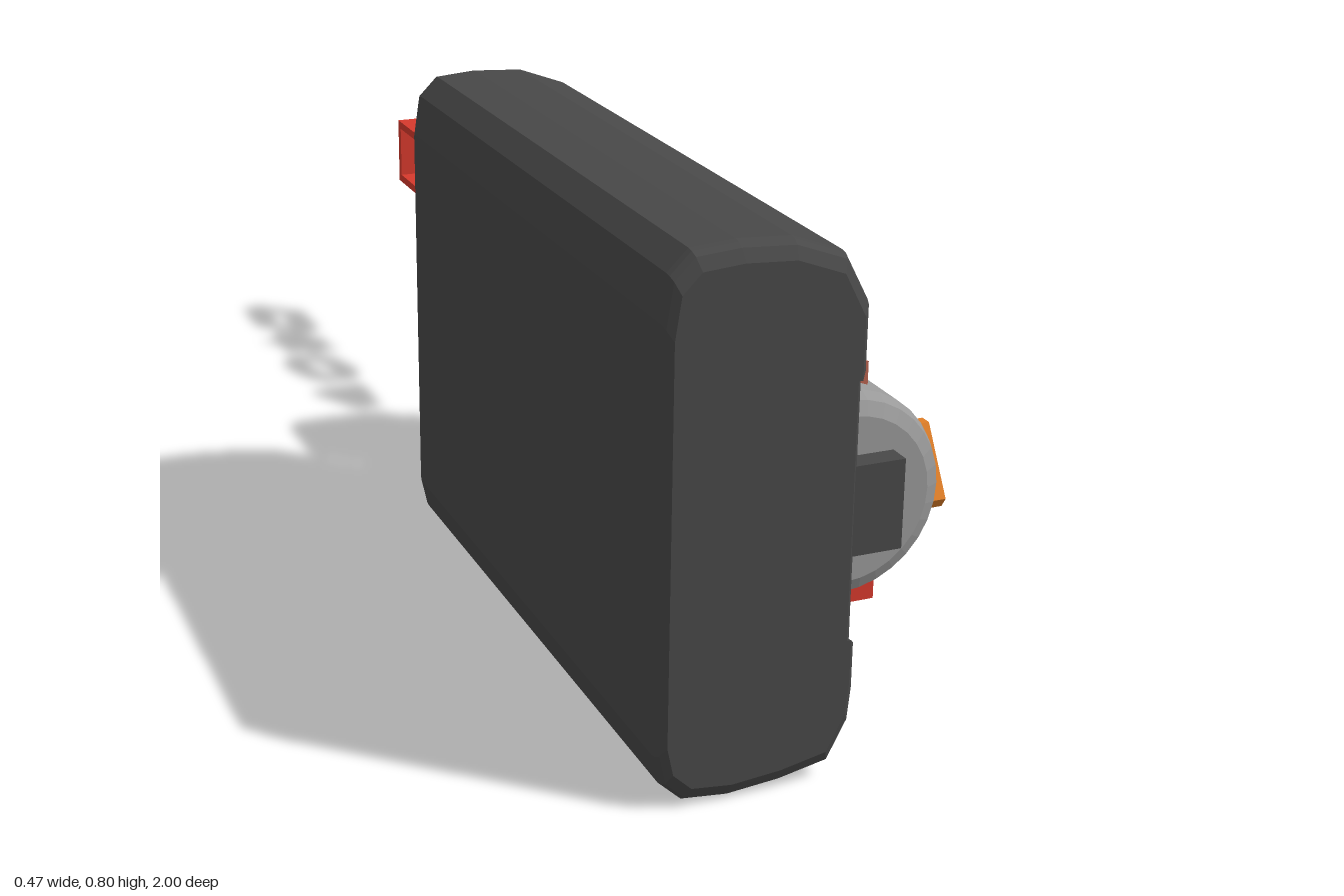
import * as THREE from 'three';
import { RoundedBoxGeometry } from 'three/addons/geometries/RoundedBoxGeometry.js';

const mat = (name, color) => Object.assign(new THREE.MeshStandardMaterial({ color }), { name });
const charcoal = mat('charcoal', 0x484848);
const grey = mat('grey', 0x999999);
const steel = mat('steel', 0xb8b8b8);
const rust = mat('rust', 0x6e210e);
const green = mat('green', 0x0d5a16);
const orange = mat('orange', 0xe07f28);
const magenta = mat('magenta', 0xb84aa8);
const coral = mat('coral', 0xc56a56);
const red = mat('red', 0xd63a2d);

const AXIS_X = 0.06, AXIS_Y = 0.4;
const REELS = [0.85, 0.6, 0.35, 0.1];

function flat(geometry) {
  const g = geometry.index ? geometry.toNonIndexed() : geometry;
  g.computeVertexNormals();
  return g;
}

function part(parent, name, geometry, material, x = 0, y = 0, z = 0) {
  const mesh = new THREE.Mesh(geometry, material);
  mesh.name = name;
  mesh.position.set(x, y, z);
  parent.add(mesh);
  return mesh;
}

const lathe = (pts, sides) =>
  flat(new THREE.LatheGeometry(pts.map(([r, h]) => new THREE.Vector2(r, h)), sides));

// Case cross-section, with the reel bay cut to bayX and an optional slot cut to slotX
function caseShape(bayX, slotX) {
  const slot = slotX === undefined ? [] : [[0.06, 0.64], [slotX, 0.64], [slotX, 0.7]];
  const pts = [
    [-0.235, 0.08], [-0.225, 0.035], [-0.195, 0.007], [-0.13, 0], [-0.05, 0.007],
    [0.025, 0.022], [0.055, 0.08], [0.06, 0.13], [0.06, 0.2], [bayX, 0.2], [bayX, 0.605],
    [0.06, 0.605], ...slot, [0.06, 0.7], [0.025, 0.767], [-0.05, 0.795], [-0.13, 0.8],
    [-0.195, 0.795], [-0.225, 0.765], [-0.235, 0.7],
  ];
  return new THREE.Shape(pts.map(([x, y]) => new THREE.Vector2(x, y)));
}

function caseSection(z0, z1, bayX, slotX) {
  const g = new THREE.ExtrudeGeometry(caseShape(bayX, slotX), { depth: z1 - z0, bevelEnabled: false });
  return flat(g.translate(0, 0, z0));
}

// End wall whose outline shrinks towards the outer face
function caseEnd(zFace, outward) {
  const depth = 0.028;
  const g = new THREE.ExtrudeGeometry(caseShape(0.053), { depth, steps: 3, bevelEnabled: false });
  if (outward < 0) g.translate(0, 0, -depth);
  const p = g.attributes.position;
  for (let i = 0; i < p.count; i++) {
    const t = Math.abs(p.getZ(i)) / depth;
    const k = 1 - Math.sqrt(Math.max(0, 1 - t * t * 0.98));
    p.setX(i, -0.09 + (p.getX(i) + 0.09) * (1 - 0.09 * k));
    p.setY(i, 0.4 + (p.getY(i) - 0.4) * (1 - 0.075 * k));
  }
  return flat(g.translate(0, 0, zFace - outward * depth));
}

// Hollow symbol facing +x, upright along y
function symbol(points, inner, depth, shift = 0) {
  const shape = new THREE.Shape(points.map(([x, y]) => new THREE.Vector2(x, y)));
  shape.holes.push(new THREE.Path(
    points.map(([x, y]) => new THREE.Vector2(x * inner, shift + (y - shift) * inner))));
  const g = new THREE.ExtrudeGeometry(shape, { depth, bevelEnabled: false });
  return flat(g.translate(0, 0, -depth / 2).rotateY(Math.PI / 2));
}

const ring = (n, radius) => Array.from({ length: n }, (_, i) => {
  const a = Math.PI / 2 + (i / n) * Math.PI * 2, r = radius(i);
  return [r * Math.cos(a), r * Math.sin(a)];
});

export function createModel() {
  const model = new THREE.Group();
  model.name = 'reelMachine';

  // Case: two end walls and a body with the bay and pay slot cut in
  const shell = new THREE.Group();
  shell.name = 'case';
  model.add(shell);
  part(shell, 'frontEndWall', caseEnd(0.995, 1), charcoal);
  part(shell, 'backEndWall', caseEnd(-0.05, -1), charcoal);
  part(shell, 'bodyFront', caseSection(0.655, 0.967, -0.13), charcoal);
  part(shell, 'bodyMiddle', caseSection(0.3, 0.655, -0.13, 0), charcoal);
  part(shell, 'bodyBack', caseSection(-0.022, 0.3, -0.13), charcoal);
  part(shell, 'axleBracket', new THREE.BoxGeometry(0.122, 0.132, 0.034), charcoal, 0.061, 0.402, 0.973);
  part(shell, 'slotLip', new THREE.BoxGeometry(0.02, 0.02, 0.325), charcoal, 0.01, 0.673, 0.478);
  part(shell, 'slotNote', new THREE.BoxGeometry(0.05, 0.006, 0.325), green, 0.028, 0.643, 0.478);

  // Symbols shared by the reels and the loose row
  const symbols = {
    triangle: [symbol([[-0.055, -0.055], [0.055, -0.055], [0.065, -0.04], [0.009, 0.055], [-0.009, 0.055],
      [-0.065, -0.04]], 0.62, 0.04, -0.016), orange, 0.04],
    ring: [symbol(ring(32, () => 0.073), 0.82, 0.04), magenta, 0.04],
    star: [symbol(ring(10, i => (i % 2 ? 0.028 : 0.068)), 0.66, 0.06), coral, 0.06],
    square: [symbol([[-0.065, -0.065], [0.065, -0.065], [0.065, 0.065], [-0.065, 0.065]], 0.77, 0.04), red, 0.04],
  };

  // Reels, each with four symbols around its rim
  const drum = lathe([[0, -0.1], [0.122, -0.1], [0.142, -0.09], [0.15, -0.07],
    [0.15, 0.07], [0.142, 0.09], [0.122, 0.1], [0, 0.1]], 32).rotateX(Math.PI / 2);
  const turns = { triangle: 0, star: Math.PI / 2, ring: Math.PI, square: -Math.PI / 2 };
  for (const z of REELS) {
    const reel = new THREE.Group();
    reel.name = 'reel';
    reel.position.set(AXIS_X, AXIS_Y, z);
    model.add(reel);
    part(reel, 'drum', drum, grey);
    for (const [name, angle] of Object.entries(turns)) {
      const [geometry, material, depth] = symbols[name];
      const r = 0.174 - depth / 2;
      part(reel, name, geometry, material, r * Math.cos(angle), r * Math.sin(angle)).rotation.z = angle;
    }
  }
  part(model, 'axle', new THREE.CylinderGeometry(0.05, 0.05, 1.11, 32).rotateX(Math.PI / 2),
    steel, AXIS_X, AXIS_Y, 0.405);

  // Stop buttons under the reels
  const button = lathe([[0, 0], [0.08, 0], [0.08, 0.055], [0.066, 0.07], [0, 0.07]], 24).rotateZ(-Math.PI / 2);
  for (const z of REELS) part(model, 'stopButton', button, rust, 0.023, 0.1, z);

  // Spin block with its round button
  part(model, 'spinBlock', flat(new RoundedBoxGeometry(0.195, 0.195, 0.195, 2, 0.035)),
    charcoal, 0.0625, 0.407, -0.2);
  const spin = lathe([[0, 0], [0.08, 0], [0.08, 0.036], [0.068, 0.05], [0, 0.05]], 24).rotateZ(-Math.PI / 2);
  part(model, 'spinButton', spin, green, 0.14, 0.407, -0.2);

  // Loose row of symbols behind the block
  const row = { triangle: -0.45, ring: -0.61, star: -0.775, square: -0.935 };
  for (const [name, z] of Object.entries(row)) {
    const [geometry, material] = symbols[name];
    part(model, 'loose' + name[0].toUpperCase() + name.slice(1), geometry, material, AXIS_X, AXIS_Y, z);
  }
  return model;
}
